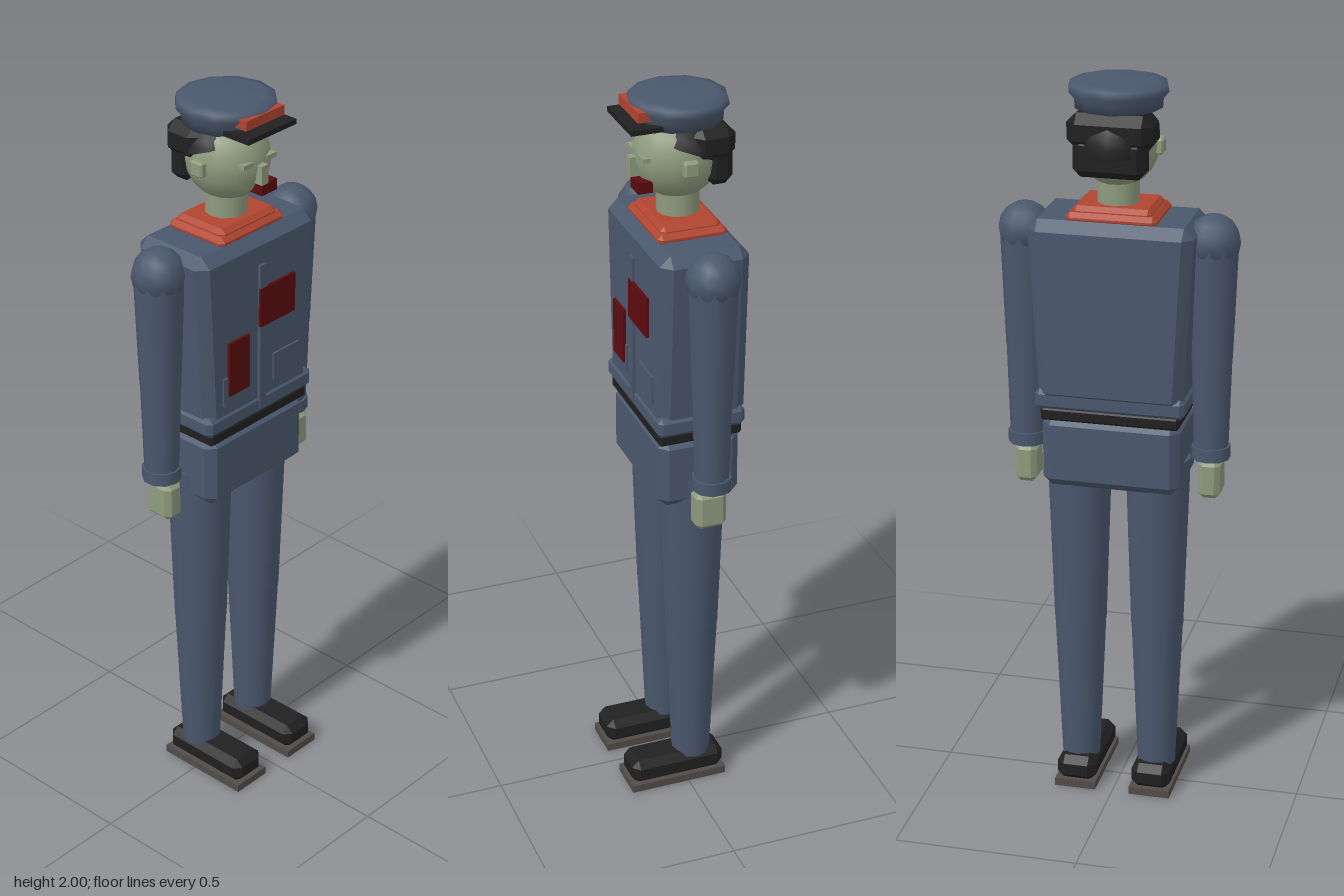
import * as THREE from 'three';
import { ConvexGeometry } from 'three/addons/geometries/ConvexGeometry.js';

const material = (name, color) => new THREE.MeshStandardMaterial({ name, color });

// Box between two corners, with all edges chamfered by b; taper scales the width at the bottom.
function chamferBox([x0, y0, z0], [x1, y1, z1], b, taper = 1) {
  const h = [(x1 - x0) / 2, (y1 - y0) / 2, (z1 - z0) / 2];
  const c = [(x1 + x0) / 2, (y1 + y0) / 2, (z1 + z0) / 2];
  const points = [];
  for (const sx of [-1, 1]) for (const sy of [-1, 1]) for (const sz of [-1, 1]) {
    for (let axis = 0; axis < 3; axis++) {
      const p = [sx, sy, sz].map((s, i) => s * (h[i] - (i === axis ? 0 : b)));
      const k = THREE.MathUtils.lerp(taper, 1, (p[1] + h[1]) / (2 * h[1]));
      points.push(new THREE.Vector3(c[0] + p[0] * k, c[1] + p[1], c[2] + p[2]));
    }
  }
  return new ConvexGeometry(points);
}

function plainBox([x0, y0, z0], [x1, y1, z1]) {
  return new THREE.BoxGeometry(x1 - x0, y1 - y0, z1 - z0)
    .translate((x0 + x1) / 2, (y0 + y1) / 2, (z0 + z1) / 2);
}

// Upright tapered limb from y0 (radius r0) to y1 (radius r1).
function limb(x, y0, r0, y1, r1, sides = 10) {
  return new THREE.CylinderGeometry(r1, r0, y1 - y0, sides)
    .translate(x, (y0 + y1) / 2, -0.025);
}

export function createModel() {
  const cloth = material('uniform blue', 0x4a586d);
  const skin = material('pale green skin', 0x8f9b7e);
  const scarlet = material('collar red', 0xb0452f);
  const blood = material('dark red', 0x5c0b0e);
  const black = material('black', 0x202020);
  const soleGrey = material('sole grey', 0x514c49);

  const model = new THREE.Group();
  model.name = 'officer';
  const add = (name, geometry, mat) => {
    const mesh = new THREE.Mesh(geometry, mat);
    mesh.name = name;
    model.add(mesh);
    return mesh;
  };

  // Jacket
  add('torso', chamferBox([-0.22, 1.15, -0.145], [0.22, 1.645, 0.095], 0.028, 0.87), cloth);
  add('waistband', chamferBox([-0.2, 1.13, -0.14], [0.2, 1.185, 0.1], 0.012), cloth);
  add('belt', chamferBox([-0.185, 1.1, -0.135], [0.185, 1.135, 0.093], 0.006), black);
  add('jacketSkirt', chamferBox([-0.185, 0.91, -0.133], [0.185, 1.11, 0.09], 0.024), cloth);
  add('placket', plainBox([-0.012, 1.15, 0.09], [0.012, 1.565, 0.104]), cloth);
  add('lowerCollar', chamferBox([-0.12, 1.635, -0.118], [0.12, 1.665, 0.07], 0.012), scarlet);
  add('upperCollar', chamferBox([-0.105, 1.65, -0.105], [0.105, 1.68, 0.058], 0.012), scarlet);

  // Stains on the chest
  add('chestStain', plainBox([-0.012, 1.39, 0.098], [0.12, 1.5, 0.106]), blood);
  add('waistStain', plainBox([-0.13, 1.235, 0.098], [-0.053, 1.388, 0.106]), blood);

  // Arms, legs, pockets and shoes on both sides
  for (const s of [-1, 1]) {
    const side = s > 0 ? 'left' : 'right';
    const arm = s * 0.25, leg = s * 0.107, foot = s * 0.105;
    add(side + 'Pocket', plainBox([s * 0.096 - 0.05, 1.21, 0.09], [s * 0.096 + 0.05, 1.288, 0.101]), cloth);

    add(side + 'Shoulder', new THREE.SphereGeometry(0.071, 10, 8).translate(arm, 1.59, -0.025), cloth);
    add(side + 'UpperArm', limb(arm, 1.27, 0.054, 1.6, 0.066), cloth);
    add(side + 'Forearm', limb(arm, 1.01, 0.046, 1.27, 0.053), cloth);
    add(side + 'Cuff', limb(arm, 0.995, 0.052, 1.03, 0.052), cloth);
    add(side + 'Hand', chamferBox([arm - 0.03, 0.885, -0.06], [arm + 0.03, 0.992, 0.025], 0.014), skin);

    add(side + 'Thigh', limb(leg, 0.5, 0.073, 0.985, 0.089, 12), cloth);
    add(side + 'Shin', limb(leg, 0.075, 0.053, 0.5, 0.072, 12), cloth);
    add(side + 'Shoe', chamferBox([foot - 0.054, 0.015, -0.107], [foot + 0.054, 0.088, 0.16], 0.02), black);
    add(side + 'Sole', plainBox([foot - 0.057, 0, -0.11], [foot + 0.057, 0.022, 0.165]), soleGrey);
  }

  // Head and face
  add('neck', limb(0, 1.66, 0.056, 1.76, 0.056, 12), skin);
  add('head', new THREE.SphereGeometry(1, 14, 10).scale(0.107, 0.115, 0.117).translate(0, 1.835, -0.023), skin);
  add('nose', plainBox([-0.012, 1.79, 0.08], [0.012, 1.842, 0.107]), skin);
  add('mouth', plainBox([-0.005, 1.757, 0.06], [0.051, 1.788, 0.1]), blood);
  for (const s of [-1, 1]) {
    const side = s > 0 ? 'left' : 'right';
    add(side + 'Eye', plainBox([s * 0.042 - 0.018, 1.842, 0.07], [s * 0.042 + 0.018, 1.854, 0.09]), skin);
    add(side + 'Ear', chamferBox([s * 0.107 - 0.012, 1.81, -0.04], [s * 0.107 + 0.012, 1.852, 0.0], 0.005), skin);
  }

  // Hair: a shell over the crown and two blocks behind
  const crown = new THREE.SphereGeometry(0.125, 12, 6, 0, Math.PI * 2, 0, Math.PI * 0.42);
  const shell = add('hairShell', crown.rotateX(-0.35).scale(0.94, 1, 1).translate(0, 1.83, -0.04), black);
  shell.material.side = THREE.DoubleSide;
  add('hairBack', chamferBox([-0.112, 1.835, -0.146], [0.112, 1.93, -0.03], 0.026), black);
  add('hairNape', chamferBox([-0.095, 1.765, -0.144], [0.095, 1.87, -0.072], 0.02), black);

  // Cap
  const capProfile = [[0, 1.93], [0.115, 1.93], [0.117, 1.955], [0.131, 1.972], [0.127, 1.99], [0.1, 1.997], [0, 2]];
  add('cap', new THREE.LatheGeometry(capProfile.map(p => new THREE.Vector2(...p)), 12).translate(0, 0, -0.025), cloth);
  add('capPeak', plainBox([-0.088, 1.932, 0.02], [0.088, 1.946, 0.13]), black);
  add('capBadge', plainBox([-0.07, 1.956, 0.06], [0.07, 1.982, 0.106]), scarlet);

  return model;
}
